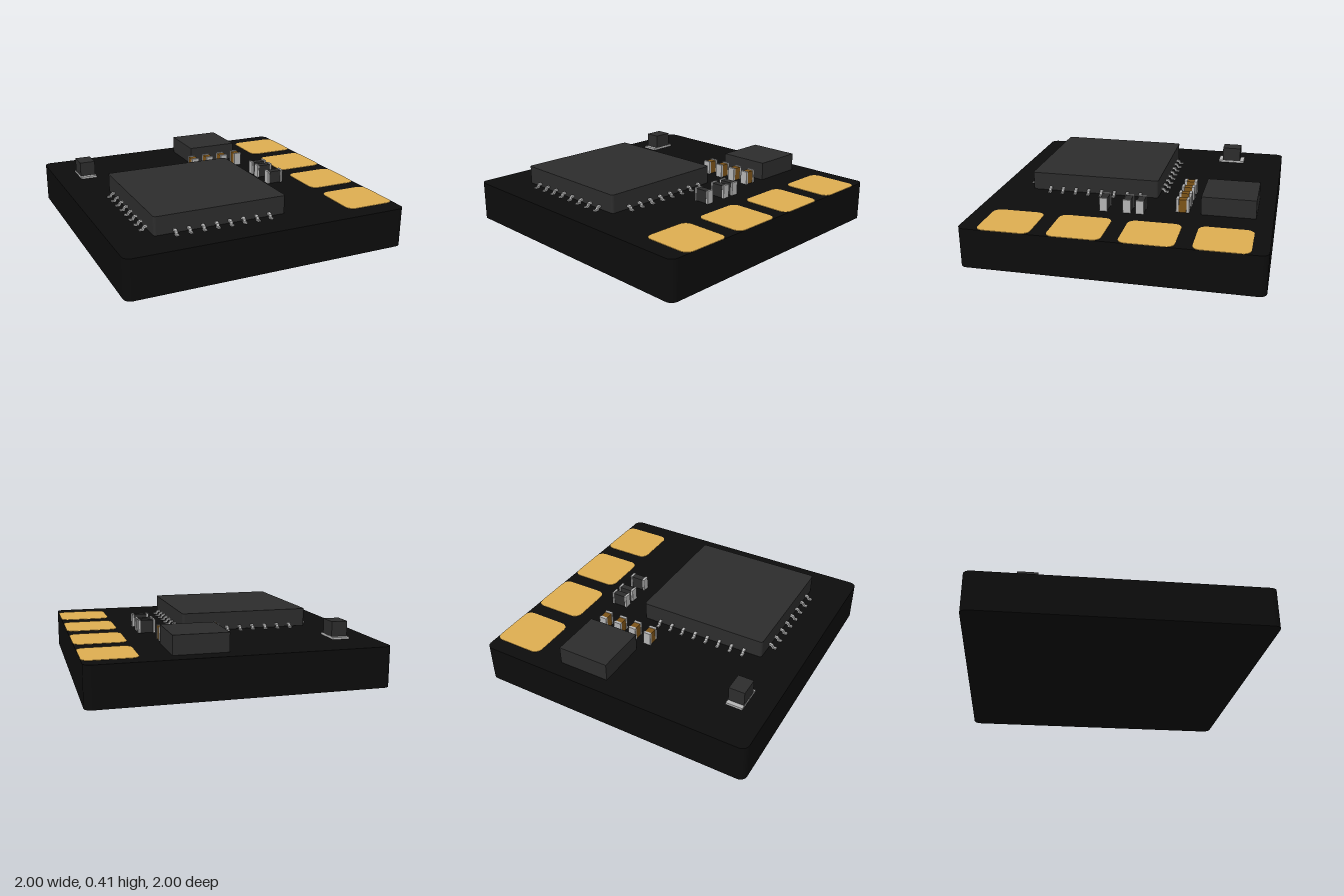
import * as THREE from 'three';

const mat = (color) => new THREE.MeshStandardMaterial({ color });
const BOARD_TOP = 0.275;

// Rounded rectangle slab, centred on x/z, from y0 to y1
function slab(name, w, d, r, y0, y1, material, x = 0, z = 0) {
  const s = new THREE.Shape();
  const a = w / 2 - r, b = d / 2 - r;
  s.absarc(a, b, r, 0, Math.PI / 2);
  s.absarc(-a, b, r, Math.PI / 2, Math.PI);
  s.absarc(-a, -b, r, Math.PI, Math.PI * 1.5);
  s.absarc(a, -b, r, Math.PI * 1.5, Math.PI * 2);
  const g = new THREE.ExtrudeGeometry(s, { depth: y1 - y0, bevelEnabled: false, curveSegments: 8 });
  g.rotateX(-Math.PI / 2);
  const m = new THREE.Mesh(g, material);
  m.name = name;
  m.position.set(x, y0, z);
  return m;
}

function box(name, w, y0, y1, d, material, x = 0, z = 0) {
  const m = new THREE.Mesh(new THREE.BoxGeometry(w, y1 - y0, d), material);
  m.name = name;
  m.position.set(x, (y0 + y1) / 2, z);
  return m;
}

// Bent pin: leaves the body along +x, steps down to a flat foot
function pinGeometry() {
  const s = new THREE.Shape();
  [[-0.02, 0.306], [0.015, 0.306], [0.028, 0.300], [0.036, 0.284], [0.055, 0.284],
    [0.055, 0.274], [0.027, 0.274], [0.018, 0.292], [-0.02, 0.292]]
    .forEach(([x, y], i) => (i ? s.lineTo(x, y) : s.moveTo(x, y)));
  const g = new THREE.ExtrudeGeometry(s, { depth: 0.02, bevelEnabled: false });
  return g.translate(0, 0, -0.01);
}

// Small two-terminal part, long axis along x
function chipPart(name, length, width, top, endLength, bodyMat, endMat) {
  const g = new THREE.Group();
  g.name = name;
  g.add(box('body', length - 2 * endLength, BOARD_TOP, top - 0.004, width - 0.006, bodyMat));
  for (const s of [-1, 1]) {
    g.add(slab('terminal', endLength, width, 0.004, BOARD_TOP, top, endMat, s * (length - endLength) / 2));
  }
  return g;
}

export function createModel() {
  const model = new THREE.Group();
  model.name = 'circuitBoard';
  const black = mat(0x0c0c0c), dark = mat(0x2c2c2c), gold = mat(0xdcac50);
  const metal = mat(0xb4b4b4), brown = mat(0x7c5318);

  model.add(slab('board', 2, 2, 0.05, 0, BOARD_TOP, black));

  // Solder pads along the left edge
  for (let i = 0; i < 4; i++) {
    model.add(slab('solderPad', 0.36, 0.36, 0.055, BOARD_TOP - 0.01, BOARD_TOP + 0.003, gold, 0.819, -0.711 + i * 0.468));
  }

  // Main processor with eight pins on each side
  const processor = new THREE.Group();
  processor.name = 'processor';
  processor.position.set(-0.258, 0, 0.289);
  processor.add(slab('processorBody', 0.928, 0.928, 0.018, BOARD_TOP + 0.003, 0.405, dark));
  const pinGeo = pinGeometry();
  for (let side = 0; side < 4; side++) {
    const row = new THREE.Group();
    row.name = 'pinRow';
    row.rotation.y = side * Math.PI / 2;
    for (let i = 0; i < 8; i++) {
      const pin = new THREE.Mesh(pinGeo, metal);
      pin.name = 'pin';
      pin.position.set(0.462, 0, -0.005 + (i - 3.5) * 0.095);
      row.add(pin);
    }
    processor.add(row);
  }
  model.add(processor);

  // Secondary chip
  model.add(box('secondaryChip', 0.37, BOARD_TOP, 0.403, 0.37, dark, 0.255, -0.698));

  // Row of capacitors
  for (let i = 0; i < 4; i++) {
    const c = chipPart('capacitor', 0.092, 0.057, 0.37, 0.02, brown, metal);
    c.position.set(0.036 + i * 0.122, 0, -0.386);
    c.rotation.y = Math.PI / 2;
    model.add(c);
  }

  // Resistors
  for (const z of [-0.108, -0.018, 0.145]) {
    const r = chipPart('resistor', 0.122, 0.056, 0.368, 0.016, dark, metal);
    r.position.set(0.456, 0, z);
    model.add(r);
  }

  // Diode standing on a thin metal base
  const diode = new THREE.Group();
  diode.name = 'diode';
  diode.position.set(-0.773, 0, -0.603);
  diode.add(box('diodeBase', 0.116, BOARD_TOP, 0.29, 0.2, metal));
  diode.add(box('diodeBody', 0.112, 0.29, 0.393, 0.138, dark));
  model.add(diode);

  return model;
}
